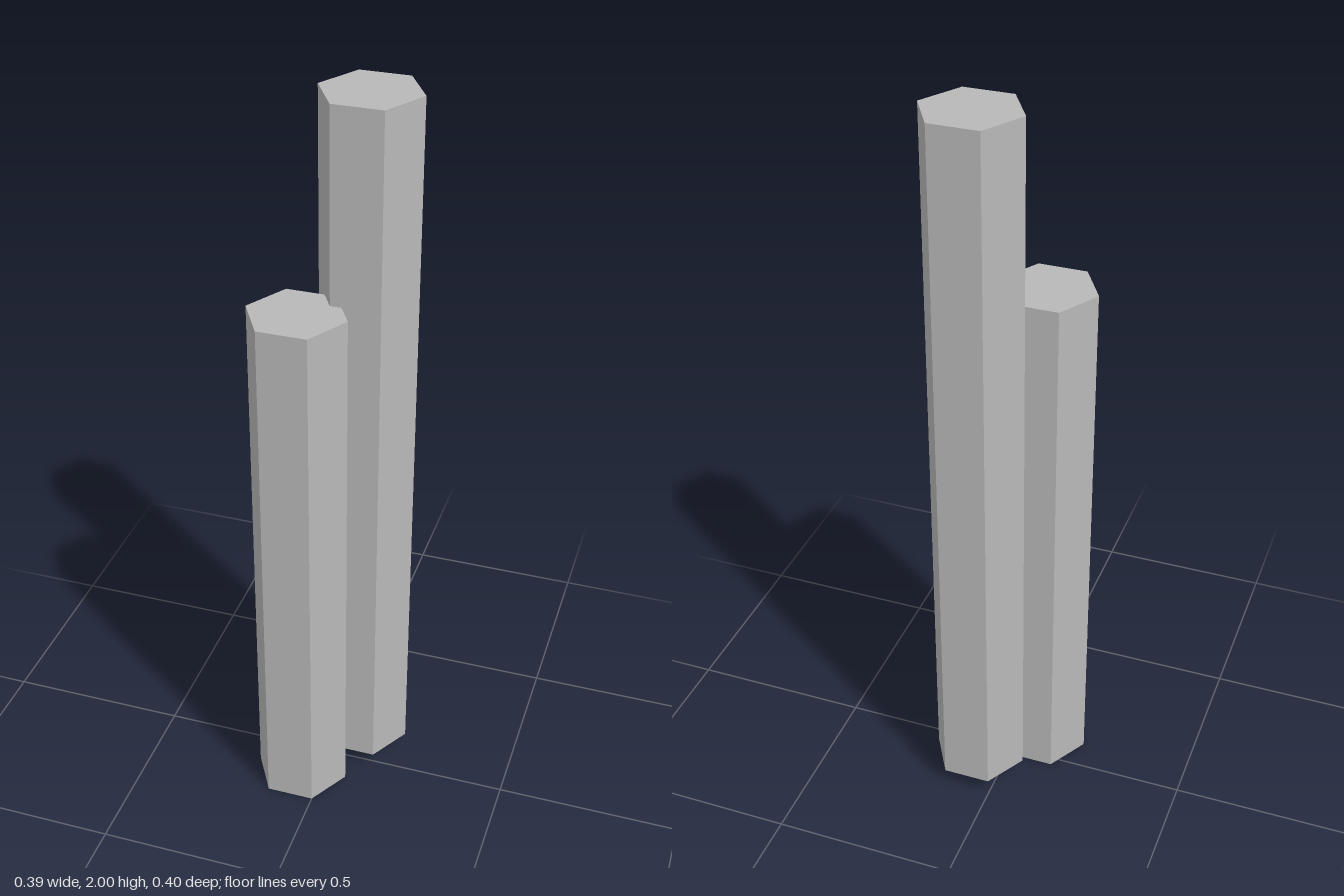
import * as THREE from 'three';

// Upright hexagonal prism with corners pointing along x
function hexColumn(name, x, z, bottom, top, material) {
  const height = top - bottom;
  const geometry = new THREE.CylinderGeometry(0.129, 0.129, height, 6, 1, false, Math.PI / 2);
  const mesh = new THREE.Mesh(geometry, material);
  mesh.name = name;
  mesh.position.set(x, bottom + height / 2, z);
  return mesh;
}

export function createModel() {
  const stone = new THREE.MeshStandardMaterial({ color: 0xb8b8b8 });
  stone.name = 'stone grey';
  stone.flatShading = true;

  const model = new THREE.Group();
  model.name = 'hexagonalColumns';
  model.add(
    hexColumn('tallColumn', 0.0645, -0.086, 0.05, 2, stone),
    hexColumn('shortColumn', -0.0645, 0.086, 0, 1.49, stone),
  );
  return model;
}
